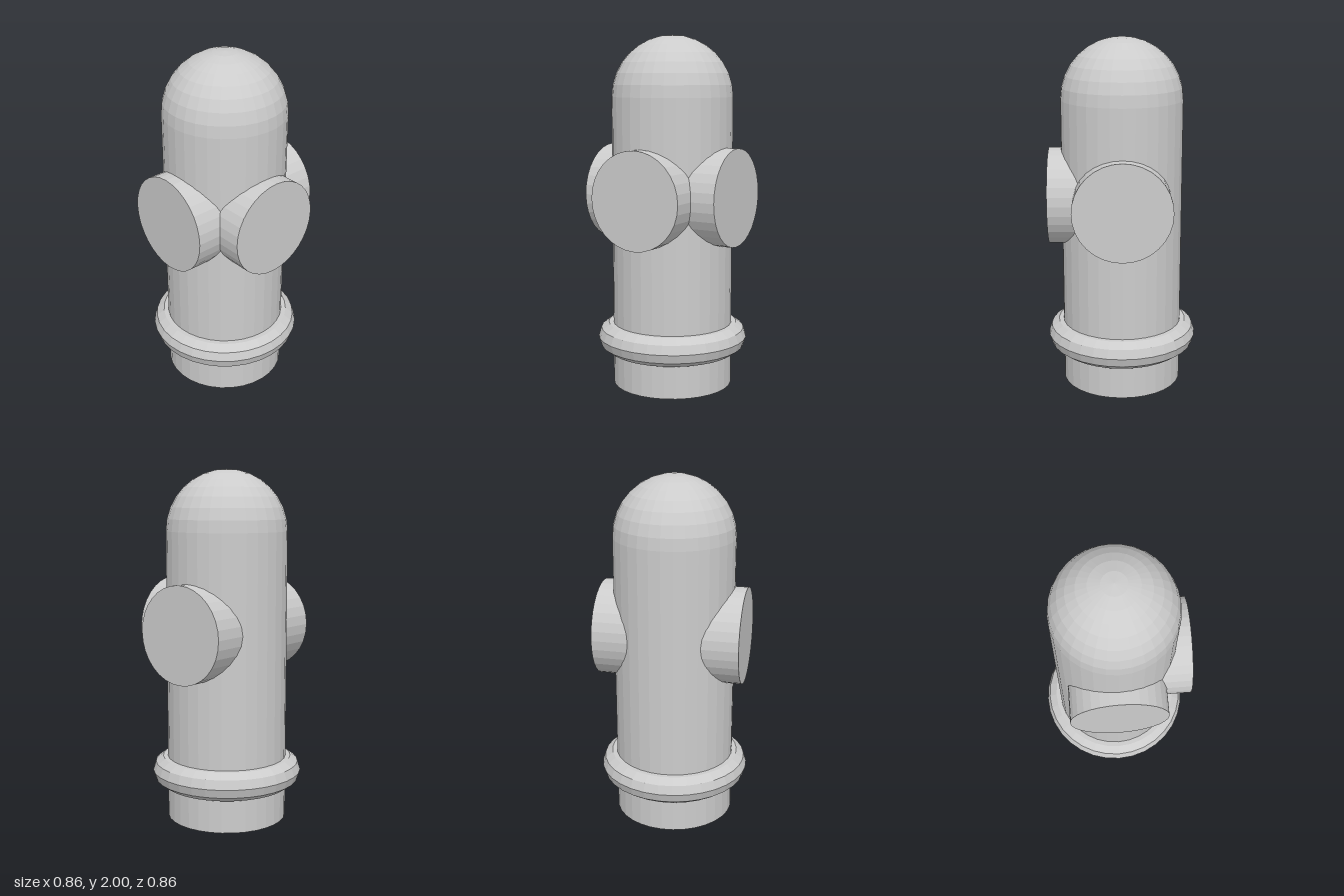
import * as THREE from 'three';

const SIDES = 32;
const RADIUS = 0.343;
const SHOULDER = 2 - RADIUS;

export function createModel() {
  const model = new THREE.Group();
  const material = new THREE.MeshStandardMaterial({ color: 0xcccccc, flatShading: true });

  const add = (name, geometry, x, y, z) => {
    const mesh = new THREE.Mesh(geometry, material);
    mesh.name = name;
    mesh.position.set(x, y, z);
    model.add(mesh);
    return mesh;
  };

  // Upright barrel, closed at the foot and open under the dome
  const profile = [[0, 0], [RADIUS, 0], [RADIUS, SHOULDER]].map(p => new THREE.Vector2(...p));
  add('barrel', new THREE.LatheGeometry(profile, SIDES), 0, 0, 0);

  // Hemispherical cap
  add('dome', new THREE.SphereGeometry(RADIUS, SIDES, 8, 0, Math.PI * 2, 0, Math.PI / 2), 0, SHOULDER, 0);

  // Rounded collar near the foot
  const collar = new THREE.TorusGeometry(0.344, 0.086, 10, SIDES).rotateX(Math.PI / 2);
  add('collar', collar, 0, 0.277, 0);

  // Three hose outlets: left, right and front
  const reach = 0.412;
  const outlet = new THREE.CylinderGeometry(0.274, 0.274, reach, SIDES)
    .rotateX(Math.PI / 2).translate(0, 0, reach / 2);
  const outlets = { frontOutlet: 0, leftOutlet: Math.PI / 2, rightOutlet: -Math.PI / 2 };
  for (const [name, turn] of Object.entries(outlets)) {
    add(name, outlet, 0, 1.106, 0).rotation.y = turn;
  }

  return model;
}
